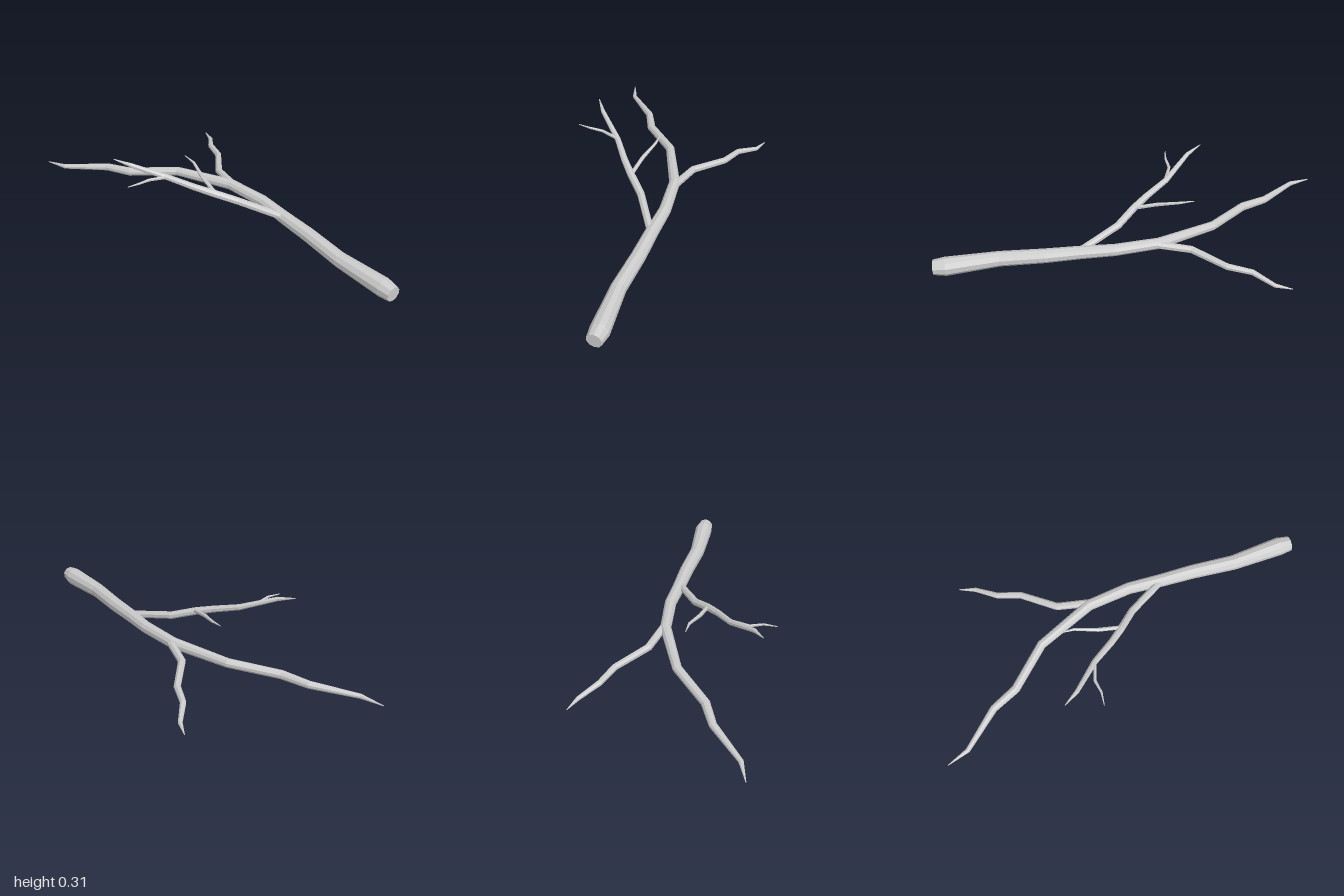
import * as THREE from 'three';

const material = new THREE.MeshStandardMaterial({ color: 0xcccccc, flatShading: true });

// Faceted tapering limb through knots [x, y, z, radius], closed at both ends
function limb(name, knots, sides) {
  const centres = knots.map(([x, y, z]) => new THREE.Vector3(x, y, z));
  const up = new THREE.Vector3(0, 1, 0);
  const last = knots.length - 1;
  const positions = [];
  const index = [];

  centres.forEach((c, i) => {
    // Each ring lies square to the average direction of its two neighbours
    const t = new THREE.Vector3();
    if (i > 0) t.add(c.clone().sub(centres[i - 1]).normalize());
    if (i < last) t.add(centres[i + 1].clone().sub(c).normalize());
    t.normalize();
    const u = up.clone().cross(t).normalize();
    const v = t.clone().cross(u);
    for (let s = 0; s < sides; s++) {
      const a = ((s + 0.5) / sides) * Math.PI * 2;
      const p = c.clone()
        .addScaledVector(u, Math.cos(a) * knots[i][3])
        .addScaledVector(v, Math.sin(a) * knots[i][3]);
      positions.push(p.x, p.y, p.z);
    }
  });

  for (let i = 0; i < last; i++) {
    for (let s = 0; s < sides; s++) {
      const a = i * sides + s;
      const b = i * sides + ((s + 1) % sides);
      index.push(a, b, b + sides, a, b + sides, a + sides);
    }
  }
  // End caps as fans
  for (let s = 1; s < sides - 1; s++) {
    const e = last * sides;
    index.push(0, s + 1, s, e, e + s, e + s + 1);
  }

  const indexed = new THREE.BufferGeometry();
  indexed.setAttribute('position', new THREE.Float32BufferAttribute(positions, 3));
  indexed.setIndex(index);
  const geometry = indexed.toNonIndexed();
  geometry.computeVertexNormals();
  const mesh = new THREE.Mesh(geometry, material);
  mesh.name = name;
  return mesh;
}

export function createModel() {
  const group = new THREE.Group();
  group.name = 'fallenBranch';

  group.add(
    // Main stem, running from the cut end to the long rear tip
    limb('mainStem', [
      [0.113, 0.048, 1.0, 0.038],
      [0.115, 0.05, 0.94, 0.047],
      [0.103, 0.062, 0.68, 0.038],
      [0.12, 0.073, 0.46, 0.036],
      [0.125, 0.081, 0.29, 0.033],
      [0.135, 0.089, 0.12, 0.03],
      [0.113, 0.092, -0.1, 0.028],
      [-0.005, 0.082, -0.39, 0.023],
      [-0.175, 0.058, -0.58, 0.022],
      [-0.232, 0.05, -0.71, 0.019],
      [-0.385, 0.03, -0.89, 0.012],
      [-0.422, 0.024, -1.0, 0.002],
    ], 10),

    // Rear fork on the left
    limb('rearFork', [
      [0.117, 0.093, -0.07, 0.02],
      [0.164, 0.079, -0.255, 0.019],
      [0.29, 0.06, -0.41, 0.017],
      [0.333, 0.05, -0.525, 0.015],
      [0.41, 0.023, -0.62, 0.011],
      [0.44, 0.018, -0.7, 0.002],
    ], 8),

    // Rising side branch
    limb('sideBranch', [
      [0.125, 0.085, 0.3, 0.018],
      [0.0, 0.132, 0.09, 0.019],
      [-0.085, 0.17, 0.0, 0.019],
      [-0.143, 0.194, -0.07, 0.017],
      [-0.22, 0.229, -0.18, 0.015],
      [-0.35, 0.292, -0.31, 0.011],
      [-0.4, 0.312, -0.385, 0.002],
    ], 8),

    // Two thin twigs on the side branch
    limb('innerTwig', [
      [-0.08, 0.172, 0.01, 0.01],
      [-0.062, 0.198, -0.11, 0.01],
      [-0.03, 0.222, -0.22, 0.007],
      [-0.027, 0.229, -0.295, 0.002],
    ], 6),
    limb('outerTwig', [
      [-0.225, 0.235, -0.18, 0.009],
      [-0.315, 0.241, -0.21, 0.008],
      [-0.38, 0.252, -0.2, 0.006],
      [-0.445, 0.254, -0.208, 0.002],
    ], 6),
  );

  return group;
}
